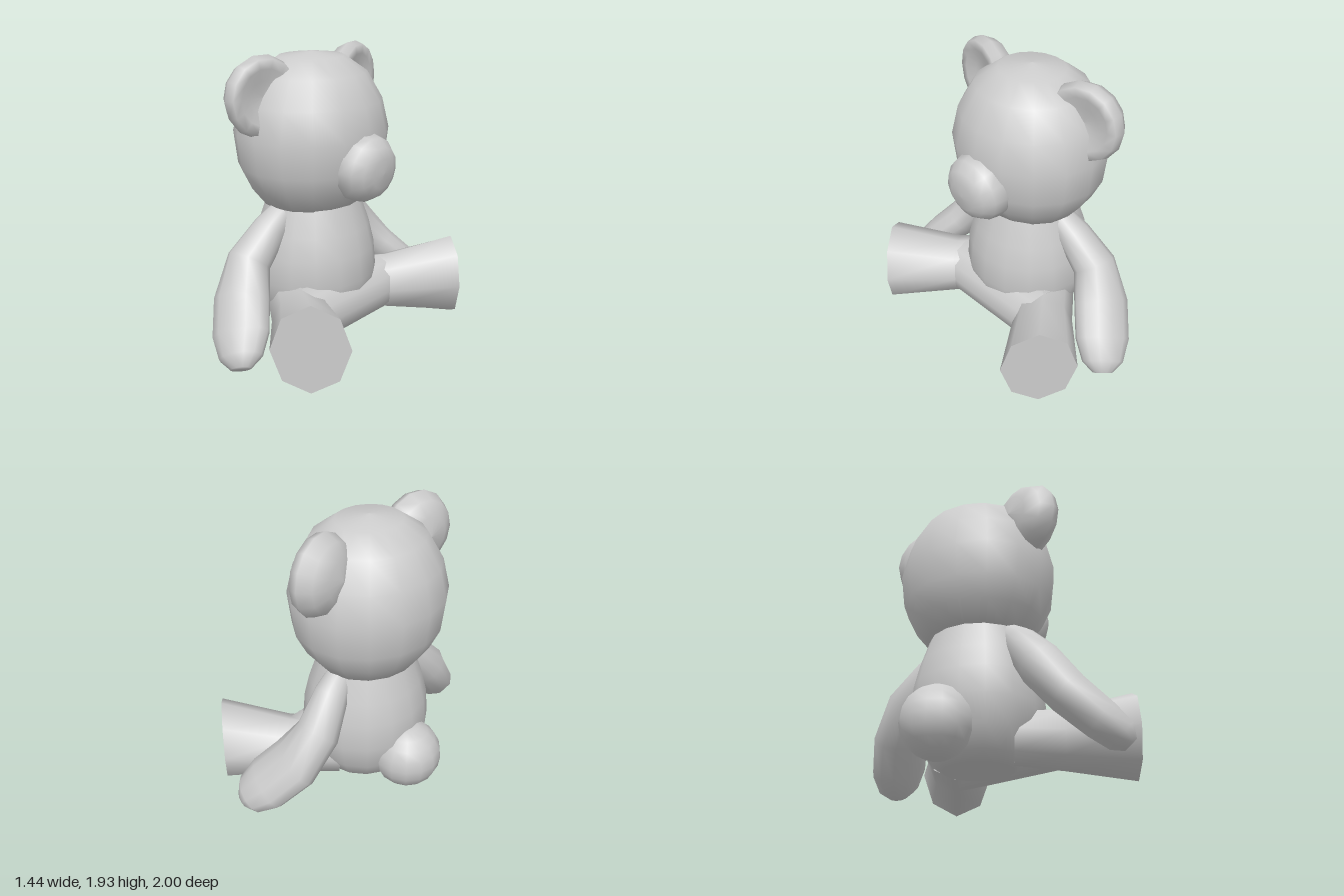
import * as THREE from 'three';
import { toCreasedNormals } from 'three/addons/utils/BufferGeometryUtils.js';

const material = new THREE.MeshStandardMaterial({ color: 0xcccccc });
const UP = new THREE.Vector3(0, 1, 0);

function part(name, geometry, parent, x = 0, y = 0, z = 0) {
  const mesh = new THREE.Mesh(geometry, material);
  mesh.name = name;
  mesh.position.set(x, y, z);
  parent.add(mesh);
  return mesh;
}

// Turned shape from [radius, height] pairs, listed bottom to top
function turned(profile, sides) {
  return new THREE.LatheGeometry(profile.map(([r, y]) => new THREE.Vector2(r, y)), sides);
}

// Closed limb through elliptical sections [x, y, z, width, thickness];
// "up" is the thickness direction, "axis" optionally fixes the section normal
function limb(sections, sides, up, axis) {
  const centres = sections.map(s => new THREE.Vector3(s[0], s[1], s[2]));
  const last = centres.length - 1;
  const pos = [], index = [];
  sections.forEach(([, , , w, h], k) => {
    const t = axis ? axis.clone() : centres[Math.min(k + 1, last)].clone().sub(centres[Math.max(k - 1, 0)]);
    t.normalize();
    const v = up.clone().addScaledVector(t, -up.dot(t)).normalize();
    const u = v.clone().cross(t);
    for (let j = 0; j < sides; j++) {
      const a = j / sides * Math.PI * 2;
      const p = centres[k].clone().addScaledVector(u, Math.cos(a) * w).addScaledVector(v, Math.sin(a) * h);
      pos.push(p.x, p.y, p.z);
    }
  });
  const start = pos.length / 3, end = start + 1;
  pos.push(...centres[0].toArray(), ...centres[last].toArray());
  for (let j = 0; j < sides; j++) {
    const n = (j + 1) % sides;
    for (let k = 0; k < last; k++) {
      const a = k * sides + j, b = k * sides + n;
      index.push(a, b, a + sides, b, b + sides, a + sides);
    }
    index.push(start, n, j, end, last * sides + j, last * sides + n);
  }
  const g = new THREE.BufferGeometry();
  g.setAttribute('position', new THREE.Float32BufferAttribute(pos, 3));
  g.setIndex(index);
  g.computeVertexNormals();
  return g;
}

export function createModel() {
  const bear = new THREE.Group();
  bear.name = 'teddyBear';

  // Body, narrow at the neck and rounded underneath
  const body = turned([[0, 0.04], [0.22, 0.055], [0.3, 0.11], [0.38, 0.24], [0.425, 0.42],
    [0.41, 0.6], [0.375, 0.75], [0.315, 0.93]], 16);
  body.scale(1, 1, 1.04);
  part('body', body, bear, -0.11);

  // Lap: fills the space between the thighs
  const lap = [-0.4, -0.28, 0, 0.28, 0.4].map(z => [0.14, 0.245, z, 0.195, 0.195]);
  part('lap', toCreasedNormals(limb(lap, 12, UP), 1), bear);

  // Head, wider than deep
  const head = turned([[0, 0.91], [0.32, 0.92], [0.41, 1.04], [0.475, 1.18], [0.5, 1.4], [0.455, 1.6],
    [0.355, 1.78], [0.21, 1.885], [0, 1.915]], 16);
  head.scale(1, 1, 1.075);
  part('head', head, bear, -0.125);

  // Muzzle with a blunt front, tipped slightly down
  const muzzle = turned([[0, -0.14], [0.17, -0.12], [0.23, 0], [0.212, 0.085],
    [0.165, 0.145], [0.1, 0.175], [0, 0.18]], 14);
  muzzle.rotateZ(-Math.PI / 2);
  muzzle.scale(1, 1, 1.02);
  part('muzzle', muzzle, bear, 0.305, 1.215).rotation.z = -0.1;

  // Round tail
  part('tail', new THREE.SphereGeometry(0.232, 14, 10), bear, -0.49, 0.272);

  for (const side of [1, -1]) {
    const prefix = side > 0 ? 'left' : 'right'; // +z and -z halves

    // Ear: domed back, shallow dished front, turned outward
    const ear = turned([[0, -0.19], [0.13, -0.17], [0.22, -0.115], [0.262, -0.03],
      [0.24, 0.03], [0.18, 0.03], [0.1, 0], [0, -0.01]], 14);
    ear.rotateZ(-Math.PI / 2);
    part(prefix + 'Ear', ear, bear, -0.115, 1.673, 0.447 * side).rotation.y = -0.2 * side;

    // Arm: lies against the body, bends at the elbow and ends in a rounded paw
    const arm = [
      [-0.125, 0.93, 0.24, 0.08, 0.06],
      [-0.152, 0.79, 0.38, 0.115, 0.115],
      [-0.19, 0.6, 0.545, 0.145, 0.145],
      [-0.115, 0.4, 0.69, 0.195, 0.135],
      [0.01, 0.24, 0.825, 0.195, 0.125],
      [0.09, 0.145, 0.905, 0.145, 0.105],
      [0.125, 0.095, 0.94, 0.07, 0.05]
    ].map(([x, y, z, w, h]) => [x, y, z * side, w, h]);
    part(prefix + 'Arm', limb(arm, 12, new THREE.Vector3(0.1, 0.6, 0.75 * side)), bear);

    // Leg: flares to a flat eight-sided sole
    const leg = [
      [-0.06, 0.24, 0.24, 0.19, 0.18],
      [0.19, 0.245, 0.44, 0.205, 0.2],
      [0.53, 0.29, 0.75, 0.245, 0.29]
    ].map(([x, y, z, w, h]) => [x, y, z * side, w, h]);
    const legShape = limb(leg, 8, UP, new THREE.Vector3(0.64, 0, 0.77 * side));
    part(prefix + 'Leg', toCreasedNormals(legShape, 1), bear);
  }
  return bear;
}
